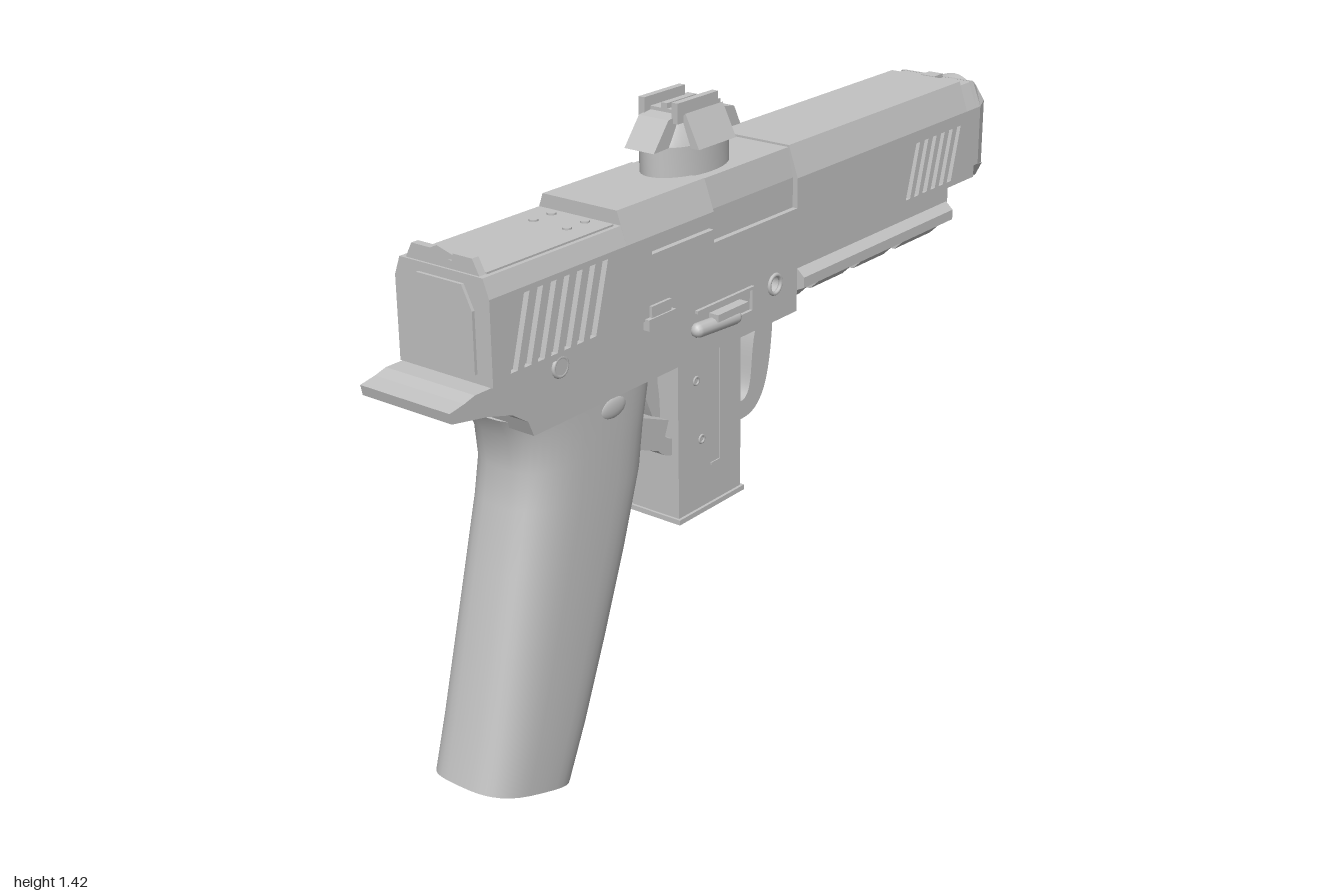
import * as THREE from 'three';
import { toCreasedNormals } from 'three/addons/utils/BufferGeometryUtils.js';

export function createModel() {
  const root = new THREE.Group();
  const grey = new THREE.MeshStandardMaterial({ color: 0xc2c2c2, side: THREE.DoubleSide });
  grey.name = 'plain grey';

  const add = (name, geo, x = 0, y = 0, z = 0) => {
    const m = new THREE.Mesh(geo, grey);
    m.name = name;
    m.position.set(x, y, z);
    root.add(m);
    return m;
  };
  const box = (name, x0, x1, y0, y1, z0, z1) =>
    add(name, new THREE.BoxGeometry(x1 - x0, y1 - y0, z1 - z0), (x0 + x1) / 2, (y0 + y1) / 2, (z0 + z1) / 2);
  const V = (p) => p.map(([x, y]) => new THREE.Vector2(x, y));
  const circle = (x, y, r) => new THREE.Path().absarc(x, y, r, 0, Math.PI * 2, true);

  // side profile in x-y, extruded from z0 to z1
  const slab = (pts, z0, z1, holes = []) => {
    const s = new THREE.Shape(V(pts));
    s.holes = holes;
    const g = new THREE.ExtrudeGeometry(s, { depth: z1 - z0, bevelEnabled: false, curveSegments: 20 });
    return g.translate(0, 0, z0);
  };

  // skin over matching rings of [x, y, z], with optional flat caps
  const loft = (rings, capStart = true, capEnd = true, crease = 0.45) => {
    const n = rings[0].length, pos = [];
    const tri = (a, b, c) => pos.push(...a, ...b, ...c);
    for (let i = 0; i + 1 < rings.length; i++)
      for (let j = 0; j < n; j++) {
        const k = (j + 1) % n, A = rings[i], B = rings[i + 1];
        tri(A[j], B[k], B[j]);
        tri(A[j], A[k], B[k]);
      }
    const cap = (r, flip) => {
      for (let j = 1; j + 1 < n; j++) flip ? tri(r[0], r[j + 1], r[j]) : tri(r[0], r[j], r[j + 1]);
    };
    if (capStart) cap(rings[0], true);
    if (capEnd) cap(rings[rings.length - 1], false);
    // turn all faces outward by the sign of the enclosed volume
    let vol = 0;
    const c = rings.flat().reduce((s, p) => s.map((v, i) => v + p[i] / (n * rings.length)), [0, 0, 0]);
    const at = (i) => new THREE.Vector3(pos[i] - c[0], pos[i + 1] - c[1], pos[i + 2] - c[2]);
    for (let i = 0; i < pos.length; i += 9) vol += at(i).dot(at(i + 3).cross(at(i + 6)));
    if (vol < 0)
      for (let i = 0; i < pos.length; i += 9)
        for (let k = 0; k < 3; k++) [pos[i + 3 + k], pos[i + 6 + k]] = [pos[i + 6 + k], pos[i + 3 + k]];
    const g = new THREE.BufferGeometry();
    g.setAttribute('position', new THREE.Float32BufferAttribute(pos, 3));
    return toCreasedNormals(g, crease);
  };
  const ring = (x, zy) => zy.map(([z, y]) => [x, y, z]);
  const mirror = (zy) => [...zy, ...zy.slice().reverse().map(([z, y]) => [-z, y])];

  // upper body: slim core with slotted side plates
  box('slideCore', -0.885, 0.9, 1.02, 1.2, -0.112, 0.112);
  const slots = () => {
    const holes = [];
    const slot = (x, y0, y1, lean) =>
      holes.push(new THREE.Path(V([[x, y0], [x + lean, y1], [x + lean + 0.017, y1], [x + 0.02, y0]])));
    for (let i = 0; i < 7; i++) slot(-0.835 + i * 0.039, 1.035, 1.188, 0.045);
    for (let i = 0; i < 6; i++) slot(0.58 + i * 0.038, 1.035, 1.17, 0.04);
    return holes;
  };
  const low = [[-0.885, 1.2], [-0.885, 1.02], [0.9, 1.02], [0.9, 1.2]];
  const port = [[0.12, 1.2], [0.12, 1.13], [-0.19, 1.13], [-0.19, 1.16], [-0.4, 1.16], [-0.4, 1.2]];
  add('leftSidePlate', slab([...low, ...port], 0.112, 0.125, slots()));
  add('rightSidePlate', slab(low, -0.125, -0.112, slots()));

  // chamfered roof, lower at the rear, stepped in at the side opening
  const roof = (top, left = 0.125, half = 0.1) => [[-0.125, 1.2], [-half, top], [half, top], [left, 1.2]];
  const roofPart = (name, x0, x1, ...a) => add(name, loft([ring(x0, roof(...a)), ring(x1, roof(...a))]));
  roofPart('rearRoof', -0.885, -0.48, 1.24, 0.125, 0.11);
  roofPart('middleRoof', -0.48, -0.19, 1.27);
  roofPart('openingRoof', -0.19, 0.12, 1.268, 0.112, 0.098);
  roofPart('frontRoof', 0.12, 0.855, 1.273);
  roofPart('noseRoof', 0.855, 0.91, 1.262);
  box('frontBlade', 0.865, 0.905, 1.262, 1.272, -0.02, 0.02);

  // tapered nose with open muzzle and rod holes
  const noseRing = (x, w, t, b) => ring(x, mirror([[w - 0.015, b], [w, b + 0.03], [w, 1.2], [w - 0.025, t]]));
  add('nose', loft([noseRing(0.9, 0.125, 1.265, 1.02), noseRing(0.92, 0.125, 1.262, 1.02), noseRing(0.98, 0.1, 1.235, 1.0)], false, false, 0.2));
  const face = slab([[-0.085, 1], [0.085, 1], [0.1, 1.03], [0.1, 1.2], [0.075, 1.235], [-0.075, 1.235], [-0.1, 1.2], [-0.1, 1.03]],
    -0.01, 0, [circle(0, 1.185, 0.055), circle(0, 1.07, 0.032)]);
  add('noseFace', face.rotateY(Math.PI / 2), 0.98);
  add('chin', loft([0.79, 0.97].map((x) => ring(x, mirror([[0.06, 0.995], [0.085, 1.005], [0.11, 1.04]])))));
  const tube = (name, y, x0, x1, r, bore) => {
    const g = new THREE.LatheGeometry(V([[0, -0.09], [bore, -0.09], [bore, x1 - x0 - 0.006], [bore + 0.006, x1 - x0], [r - 0.004, x1 - x0], [r, x1 - x0 - 0.006], [r, -0.09]]), 32);
    add(name, toCreasedNormals(g.rotateZ(-Math.PI / 2), 0.5), x0, y);
  };
  tube('barrel', 1.185, 0.98, 1.0, 0.068, 0.044);
  tube('guideRod', 1.07, 0.98, 0.986, 0.032, 0.014);

  // rear details
  add('rearPanel', loft([-0.892, -0.884].map((x) => ring(x, mirror([[0.085, 1.04], [0.085, 1.17], [0.06, 1.22]])))));
  add('rearSight', loft([-0.88, -0.862].map((x) => ring(x, mirror([[0.1, 1.235], [0.08, 1.272], [0.03, 1.272], [0.025, 1.25]])))));
  box('rearTopPlate', -0.862, -0.49, 1.238, 1.244, -0.1, 0.1);
  for (const x of [-0.57, -0.515])
    for (const z of [-0.045, 0.045]) add('topScrew', new THREE.CylinderGeometry(0.01, 0.01, 0.008, 16), x, 1.244, z);

  // lower frame with a rear tail
  add('frame', slab([[-1, 1.005], [-0.995, 0.982], [-0.9, 0.965], [-0.83, 0.945], [-0.785, 0.915], [-0.77, 0.88], [0.13, 0.88],
    [0.13, 0.93], [0.77, 0.93], [0.785, 0.97], [0.785, 1.02], [-0.93, 1.02], [-0.96, 1.012]], -0.12, 0.12, [circle(0.042, 0.97, 0.02)]));
  add('railBody', loft([0.13, 0.78].map((x) => ring(x, mirror([[0.1, 0.922], [0.14, 0.94], [0.14, 0.965], [0.118, 0.985], [0.118, 1.0]])))));
  for (const [a, b] of [[0.13, 0.19], [0.235, 0.37], [0.415, 0.55], [0.6, 0.765]])
    add('railTooth', loft([a, b].map((x) => ring(x, mirror([[0.085, 0.898], [0.118, 0.93]])))));

  // pins, catches and levers on both sides
  for (const s of [1, -1]) {
    const side = (name, x0, x1, y0, y1, z0, z1) => box(name, x0, x1, y0, y1, ...(s > 0 ? [z0, z1] : [-z1, -z0]));
    const ringPin = (name, x, y, r) => {
      add(name, new THREE.TorusGeometry(r, 0.005, 8, 24), x, y, s * 0.121);
    };
    ringPin('rearPin', -0.688, 1.002, 0.02);
    ringPin('frontPin', 0.042, 0.97, 0.022);
    add('rearPinCore', new THREE.CylinderGeometry(0.018, 0.018, 0.01, 20).rotateX(Math.PI / 2), -0.688, 1.002, s * 0.12);
    side('catchBase', -0.425, -0.335, 1.0, 1.025, 0.115, 0.136);
    side('catchTab', -0.41, -0.345, 1.025, 1.05, 0.12, 0.132);
    side('leverFrameTop', -0.25, -0.045, 0.985, 0.992, 0.118, 0.128);
    side('leverFrameBottom', -0.25, -0.045, 0.93, 0.937, 0.118, 0.128);
    side('leverFrameEnd', -0.052, -0.045, 0.93, 0.992, 0.118, 0.128);
    const lever = add('lever', new THREE.CapsuleGeometry(0.017, 0.13, 4, 12), -0.185, 0.945, s * 0.128);
    lever.rotation.z = Math.PI / 2 - 0.06;
    side('leverArm', -0.2, -0.09, 0.955, 0.972, 0.115, 0.145);
    // shallow dimple rim at the top of the grip
    add('gripDimple', new THREE.SphereGeometry(1, 20, 10).scale(0.042, 0.024, 0.008), -0.52, 0.855, s * 0.112);
  }

  // hollow grip: rings spanned between back and front points
  const gripEnds = [
    [-0.785, 0.895, -0.335, 0.895], [-0.76, 0.85, -0.34, 0.85], [-0.75, 0.77, -0.36, 0.77], [-0.765, 0.69, -0.375, 0.67],
    [-0.8, 0.55, -0.432, 0.5], [-0.84, 0.39, -0.505, 0.31], [-0.882, 0.22, -0.58, 0.13], [-0.915, 0.095, -0.64, 0.005]];
  const gripRings = gripEnds.map(([bx, by, fx, fy]) => Array.from({ length: 40 }, (_, i) => {
    const a = (i / 40) * Math.PI * 2, c = Math.cos(a), s = Math.sin(a);
    const t = 0.5 + 0.5 * Math.sign(c) * Math.abs(c) ** 0.65;
    return [bx + (fx - bx) * t, by + (fy - by) * t, 0.115 * Math.sign(s) * Math.abs(s) ** 0.65];
  }));
  add('grip', loft(gripRings, true, false, 0.8));
  const button = add('frontButton', new THREE.BoxGeometry(0.1, 0.07, 0.17), -0.36, 0.73);
  button.rotation.z = -0.38;

  // square magazine tube, open below
  const rect = (x, z) => [[-x, -z], [x, -z], [x, z], [-x, z]];
  const sleeve = (name, x, z, y0, y1) => {
    const s = new THREE.Shape(V(rect(x, z)));
    s.holes.push(new THREE.Path(V(rect(0.105, 0.062))));
    add(name, new THREE.ExtrudeGeometry(s, { depth: y1 - y0, bevelEnabled: false }).rotateX(-Math.PI / 2), -0.137, y0);
  };
  sleeve('magazine', 0.115, 0.073, 0.475, 0.9);
  sleeve('magazineLip', 0.121, 0.08, 0.47, 0.482);
  for (const s of [1, -1]) {
    for (const [x, y] of [[-0.187, 0.797], [-0.168, 0.65]])
      add('magazineStud', new THREE.TorusGeometry(0.009, 0.003, 6, 16), x, y, s * 0.073);
    const z = s * 0.073;
    box('magazineRib', -0.103, -0.097, 0.58, 0.88, z - 0.003, z + 0.003);
    box('magazineRibFoot', -0.135, -0.097, 0.574, 0.58, z - 0.003, z + 0.003);
  }

  // curved guards ahead of and behind the magazine
  const guard = (name, start, curves) => {
    const s = new THREE.Shape();
    s.moveTo(...start);
    for (const c of curves) c.length === 2 ? s.lineTo(...c) : s.bezierCurveTo(...c);
    const g = new THREE.ExtrudeGeometry(s, { depth: 0.11, bevelEnabled: false, curveSegments: 14 });
    add(name, toCreasedNormals(g.translate(0, 0, -0.055), 0.5));
  };
  guard('frontGuard', [0.13, 0.89], [[0.12, 0.79, 0.12, 0.64, 0.02, 0.635], [-0.025, 0.635], [-0.025, 0.68], [0.01, 0.68],
    [0.06, 0.69, 0.03, 0.8, 0.07, 0.865], [0.045, 0.89]]);
  guard('rearGuard', [-0.35, 0.89], [[-0.35, 0.82], [-0.315, 0.74], [-0.34, 0.7, -0.3, 0.64, -0.25, 0.635], [-0.25, 0.675],
    [-0.31, 0.69, -0.285, 0.75, -0.3, 0.82], [-0.305, 0.89]]);

  // top optic: oval base, domed hood, flared fins
  const oval = (x, y, rx, rz) => Array.from({ length: 36 }, (_, i) => {
    const a = (i / 36) * Math.PI * 2;
    return [x + rx * Math.cos(a), y, rz * Math.sin(a)];
  });
  add('opticBase', loft([oval(-0.13, 1.26, 0.125, 0.076), oval(-0.13, 1.335, 0.125, 0.076)]));
  add('opticHood', loft([oval(-0.13, 1.335, 0.12, 0.072), oval(-0.135, 1.365, 0.105, 0.06), oval(-0.14, 1.39, 0.08, 0.042), oval(-0.14, 1.4, 0.05, 0.025)]));
  add('rearHoodFlap', slab([[-0.285, 1.333], [-0.235, 1.395], [-0.2, 1.4], [-0.21, 1.375], [-0.235, 1.335]], -0.04, 0.04));
  add('frontHoodFlap', slab([[0.018, 1.335], [-0.005, 1.38], [-0.035, 1.385], [-0.025, 1.335]], -0.04, 0.04));
  for (const s of [1, -1]) {
    add('sideFin', loft([-0.2, -0.07].map((x) => ring(x, [[s * 0.094, 1.332], [s * 0.058, 1.405], [s * 0.048, 1.395], [s * 0.072, 1.332]]))));
    box('topSight', -0.22, -0.08, 1.385, 1.43, s * 0.045 - 0.008, s * 0.045 + 0.008);
  }
  box('topBridge', -0.2, -0.06, 1.395, 1.408, -0.045, 0.045);
  box('centreBlade', -0.2, -0.1, 1.4, 1.42, -0.008, 0.008);

  return root;
}
